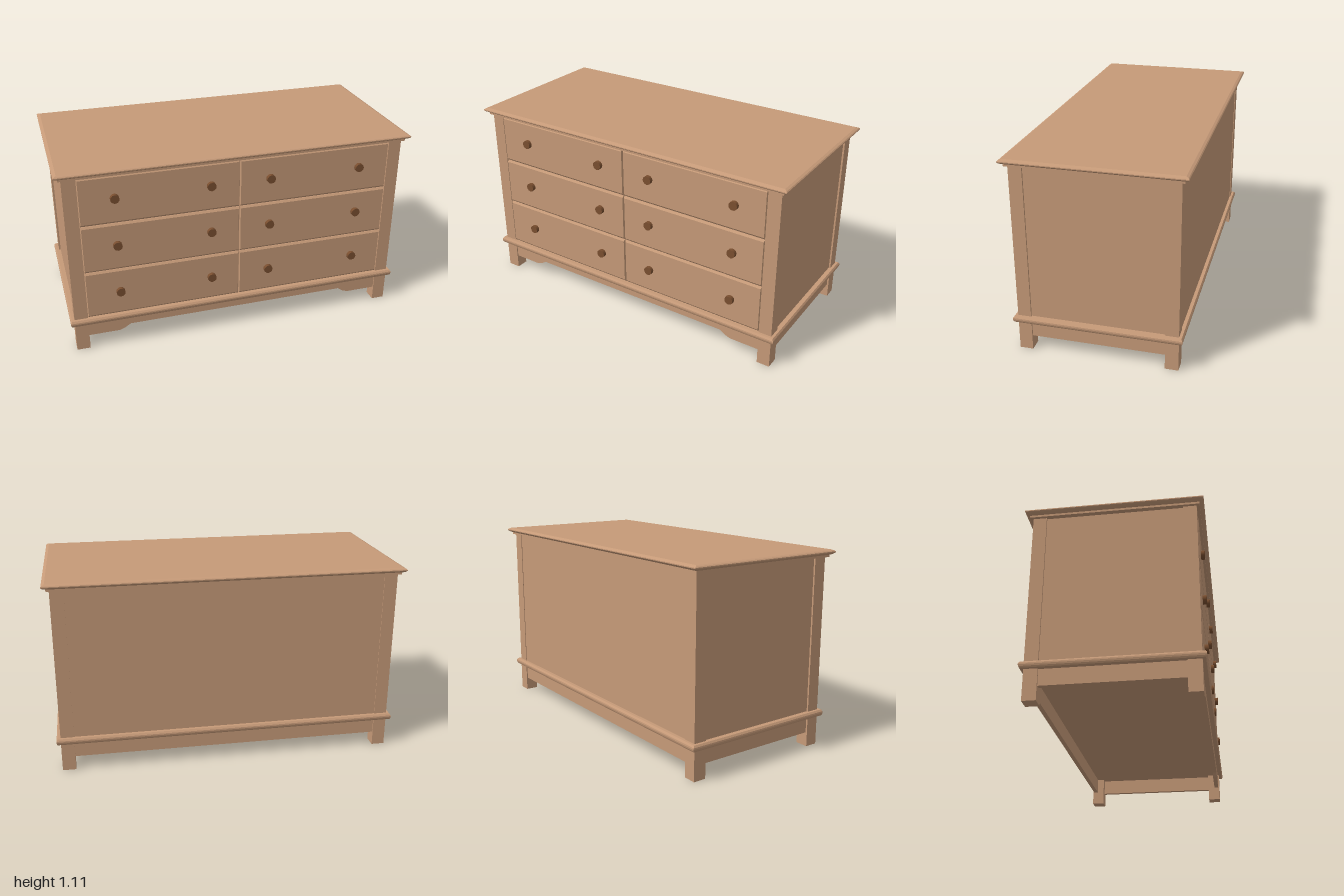
import * as THREE from 'three';

const wood = new THREE.MeshStandardMaterial({ color: 0xc69a78 });
const knobWood = new THREE.MeshStandardMaterial({ color: 0x7a4f30 });

// Closed solid lofted through rectangles [halfX, halfZ, y], listed bottom to top
function loftRects(levels) {
  const pos = [];
  const rings = levels.map(([x, z, y]) => [[-x, y, z], [x, y, z], [x, y, -z], [-x, y, -z]]);
  const quad = (a, b, c, d) => pos.push(...a, ...b, ...c, ...a, ...c, ...d);
  for (let i = 0; i < rings.length - 1; i++) {
    const lo = rings[i], hi = rings[i + 1];
    for (let k = 0; k < 4; k++) {
      const n = (k + 1) % 4;
      quad(lo[k], lo[n], hi[n], hi[k]);
    }
  }
  quad(...rings[rings.length - 1]);
  quad(...[...rings[0]].reverse());
  const geo = new THREE.BufferGeometry();
  geo.setAttribute('position', new THREE.Float32BufferAttribute(pos, 3));
  geo.computeVertexNormals();
  return geo;
}

// Moulding that follows the plan of the carcass: profile of [overhang, y]
const moulding = (profile) => loftRects(profile.map(([o, y]) => [0.96 + o, 0.44 + o, y]));

export function createModel() {
  const group = new THREE.Group();
  const add = (name, geo, x = 0, y = 0, z = 0, mat = wood) => {
    const mesh = new THREE.Mesh(geo, mat);
    mesh.name = name;
    mesh.position.set(x, y, z);
    group.add(mesh);
    return mesh;
  };
  const box = (name, x0, x1, y0, y1, z0, z1) =>
    add(name, new THREE.BoxGeometry(x1 - x0, y1 - y0, z1 - z0),
      (x0 + x1) / 2, (y0 + y1) / 2, (z0 + z1) / 2);

  // Top board with rounded edge and a small step beneath
  add('topBoard', moulding([
    [0.016, 1.066], [0.016, 1.078], [0.024, 1.081], [0.034, 1.087],
    [0.039, 1.092], [0.039, 1.097], [0.034, 1.102], [0.021, 1.107],
  ]));

  // Base moulding around the carcass
  add('baseMoulding', moulding([
    [0.017, 0.17], [0.021, 0.178], [0.023, 0.187], [0.022, 0.195], [0.015, 0.205],
  ]));

  // Carcass panels, slightly recessed between the corner posts
  box('carcass', -0.95, 0.95, 0.19, 1.07, -0.436, 0.428);

  // Corner posts running down into the feet
  for (const sx of [-1, 1]) for (const sz of [-1, 1]) {
    add('cornerPost', new THREE.BoxGeometry(0.075, 1.068, 0.073), sx * 0.9225, 0.534, sz * 0.4035);
  }

  // Straight aprons at the sides and back
  for (const s of [-1, 1]) {
    box('sideApron', s * 0.9375 - 0.0125, s * 0.9375 + 0.0125, 0.08, 0.18, -0.37, 0.37);
  }
  box('backApron', -0.89, 0.89, 0.08, 0.18, -0.433, -0.408);

  // Front apron with a shallow cut-out
  const apron = new THREE.Shape([
    [-0.89, 0.18], [-0.89, 0.082], [-0.71, 0.082], [-0.68, 0.092], [-0.645, 0.115],
    [0.645, 0.115], [0.68, 0.092], [0.71, 0.082], [0.89, 0.082], [0.89, 0.18],
  ].map(([x, y]) => new THREE.Vector2(x, y)));
  add('frontApron', new THREE.ExtrudeGeometry(apron, { depth: 0.025, bevelEnabled: false }), 0, 0, 0.408);

  // Drawer fronts with bevelled edges, three rows of two
  const rows = [[0.207, 0.492], [0.495, 0.778], [0.781, 1.062]];
  for (const [y0, y1] of rows) for (const s of [-1, 1]) {
    const hx = 0.4405, hy = (y1 - y0) / 2;
    const front = loftRects([[hx, hy, 0], [hx, hy, 0.008], [hx - 0.004, hy - 0.011, 0.016]]);
    front.rotateX(Math.PI / 2);
    add('drawerFront', front, s * 0.4425, (y0 + y1) / 2, 0.426);
  }

  // Round knobs, two per drawer
  const knob = new THREE.CylinderGeometry(0.025, 0.025, 0.022, 12);
  knob.rotateX(Math.PI / 2);
  for (const y of [0.353, 0.648, 0.932]) for (const x of [-0.692, -0.165, 0.175, 0.704]) {
    add('knob', knob, x, y, 0.452, knobWood);
  }
  return group;
}
